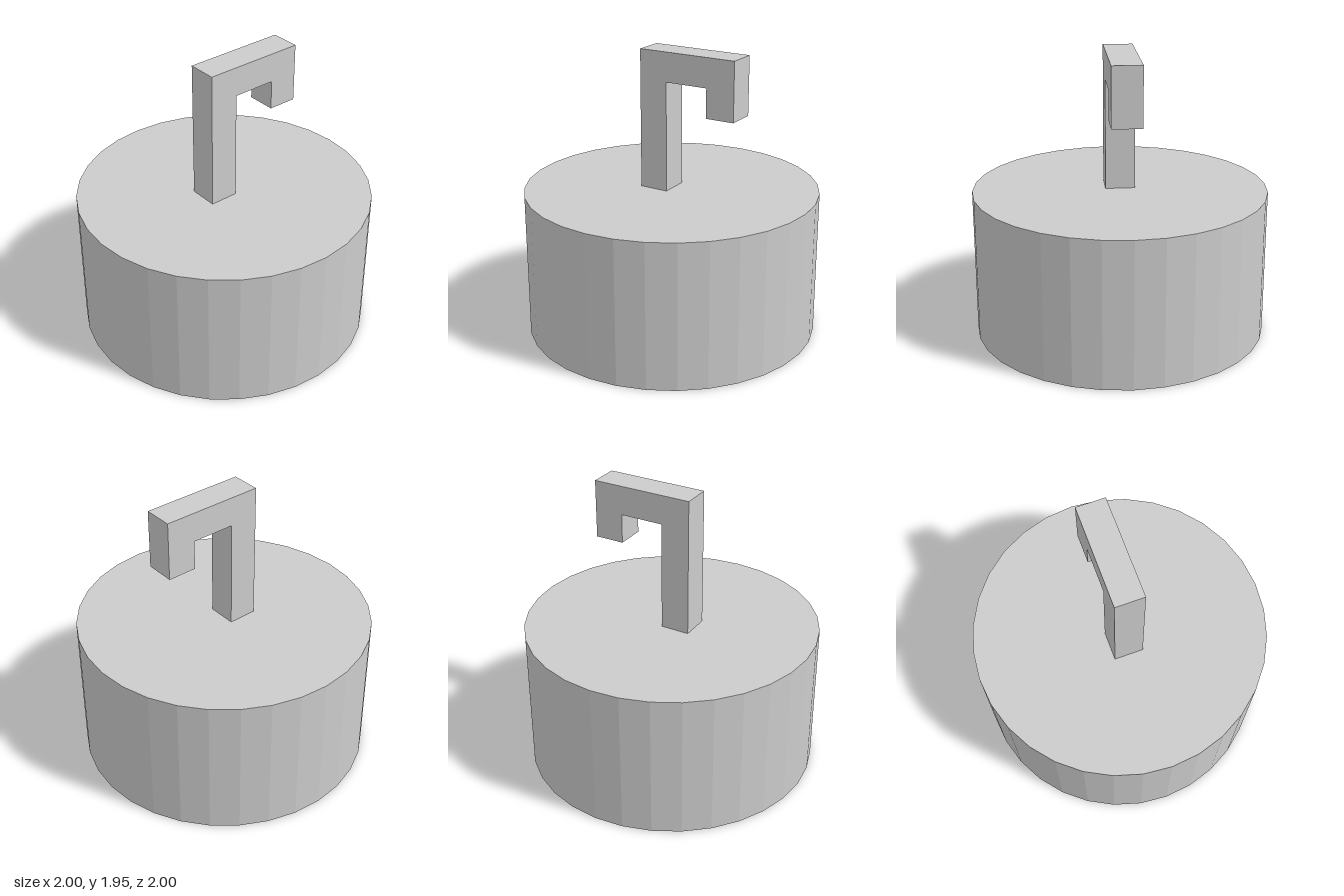
import * as THREE from 'three';

export function createModel() {
  const group = new THREE.Group();
  const material = new THREE.MeshStandardMaterial({ color: 0xcccccc, flatShading: true });

  const add = (name, geometry) => {
    const mesh = new THREE.Mesh(geometry, material);
    mesh.name = name;
    group.add(mesh);
    return mesh;
  };

  // Faceted drum standing on the ground
  add('base', new THREE.CylinderGeometry(1, 1, 1, 32)).position.y = 0.5;

  // Square-section hook: post, crossbar and short downturned tip in one outline
  const outline = [
    [-0.18, 1], [0.02, 1], [0.02, 1.75], [0.32, 1.75],
    [0.32, 1.55], [0.52, 1.55], [0.52, 1.95], [-0.18, 1.95],
  ].map(([x, y]) => new THREE.Vector2(x, y));
  const hook = new THREE.ExtrudeGeometry(new THREE.Shape(outline), { depth: 0.2, bevelEnabled: false });
  add('hook', hook).position.z = -0.1;

  return group;
}
